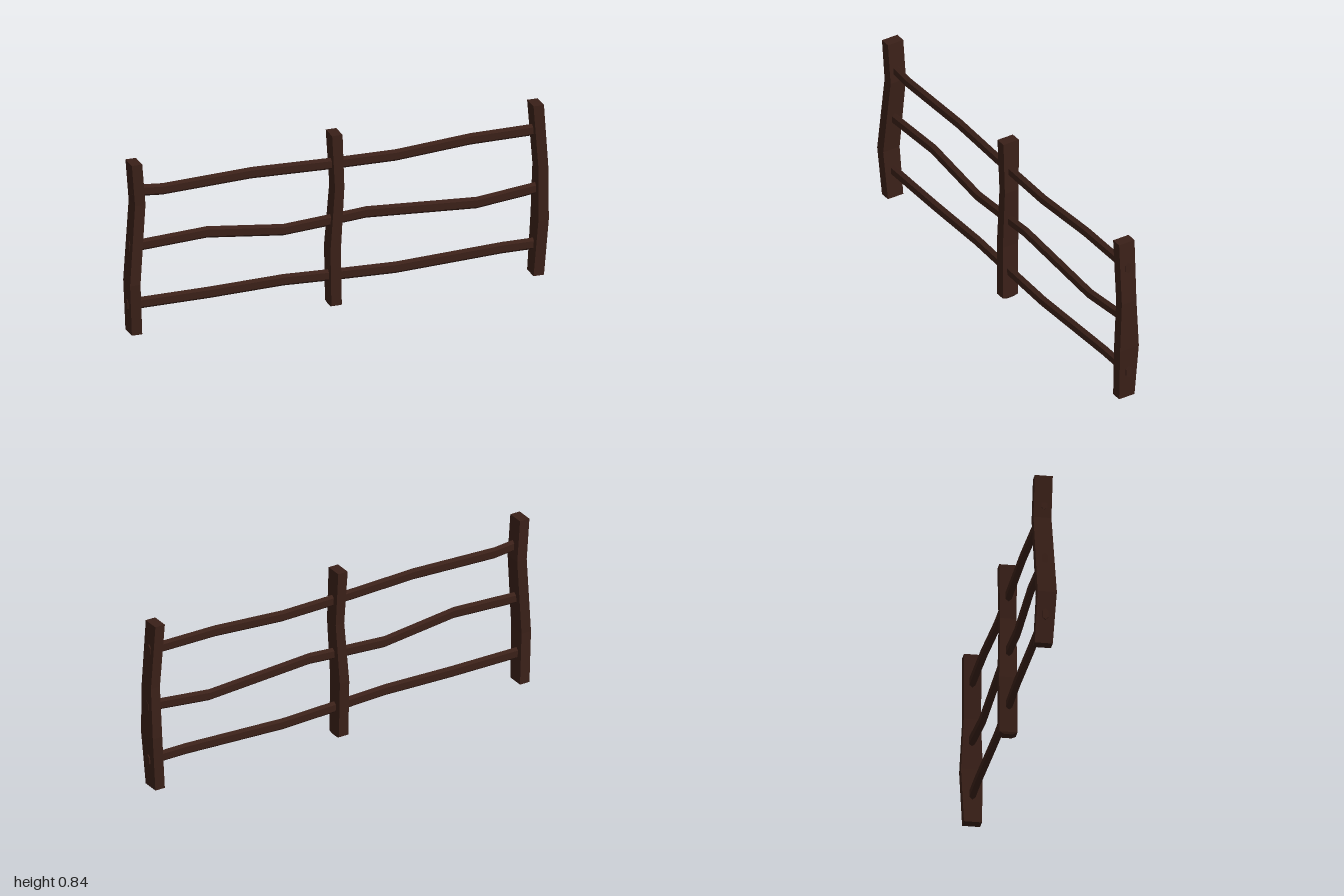
import * as THREE from 'three';

const YAW = Math.atan(0.205); // the fence runs diagonally
const C = Math.cos(YAW), S = Math.sin(YAW);
const wood = new THREE.MeshStandardMaterial({ color: 0x3a2018, flatShading: true });

// Skin a closed solid over rings, each counter-clockwise seen from the far end
function loft(name, rings) {
  const n = rings[0].length, pos = [];
  const tri = (...pts) => pts.forEach(p => pos.push(...p));
  for (let r = 0; r < rings.length - 1; r++) {
    const a = rings[r], b = rings[r + 1];
    for (let i = 0; i < n; i++) {
      const j = (i + 1) % n;
      tri(a[i], a[j], b[j]);
      tri(a[i], b[j], b[i]);
    }
  }
  const first = rings[0], last = rings[rings.length - 1];
  for (let i = 1; i < n - 1; i++) {
    tri(first[0], first[i + 1], first[i]);
    tri(last[0], last[i], last[i + 1]);
  }
  const geo = new THREE.BufferGeometry();
  geo.setAttribute('position', new THREE.Float32BufferAttribute(pos, 3));
  geo.computeVertexNormals();
  const mesh = new THREE.Mesh(geo, wood);
  mesh.name = name;
  return mesh;
}

// Crooked square post; stations are [x, y, z, widthScale, depthScale]
function post(name, stations) {
  const corners = [[-1, 1], [1, 1], [1, -1], [-1, -1]];
  return loft(name, stations.map(([x, y, z, sw = 1, sd = 1]) =>
    corners.map(([i, k]) => {
      const w = i * 0.025 * sw, d = k * 0.041 * sd;
      return [x + w * C - d * S, y, z + w * S + d * C];
    })));
}

// Wavy six-sided rail; stations are [x, y]
function rail(name, stations) {
  const hex = [[0, 0.028], [0.014, 0.016], [0.014, -0.016], [0, -0.028], [-0.014, -0.016], [-0.014, 0.016]];
  return loft(name, stations.map(([x, y]) =>
    hex.map(([d, h]) => [x - d * S, y + h, x * 0.205 + d * C])));
}

export function createModel() {
  const fence = new THREE.Group();
  fence.name = 'fence';

  // Three posts
  fence.add(
    post('rightPost', [[-0.95, 0.01, -0.2], [-0.967, 0.26, -0.19, 1, 1.07], [-0.933, 0.64, -0.2], [-0.95, 0.84, -0.2]]),
    post('middlePost', [[-0.012, 0, -0.005, 0.85, 0.5], [-0.012, 0.01, -0.005], [-0.015, 0.28, -0.008],
      [0.003, 0.58, 0, 0.9, 0.9], [-0.008, 0.84, -0.005]]),
    post('leftPost', [[0.938, 0.01, 0.193], [0.958, 0.28, 0.196, 1, 1.22], [0.96, 0.53, 0.199, 0.95, 0.95], [0.938, 0.84, 0.193]])
  );

  // Three rails, their ends just showing through the outer posts
  fence.add(
    rail('topRail', [[-0.965, 0.705], [-0.92, 0.7], [-0.82, 0.69], [-0.4, 0.704], [0, 0.69], [0.28, 0.685], [0.63, 0.709], [0.975, 0.709]]),
    rail('middleRail', [[-0.978, 0.43], [-0.61, 0.447], [-0.25, 0.402], [-0.04, 0.415], [0.14, 0.428], [0.66, 0.393], [0.985, 0.428]]),
    rail('bottomRail', [[-0.988, 0.15], [-0.6, 0.15], [-0.25, 0.157], [0, 0.146], [0.28, 0.136], [0.78, 0.154], [0.98, 0.152]])
  );
  return fence;
}
